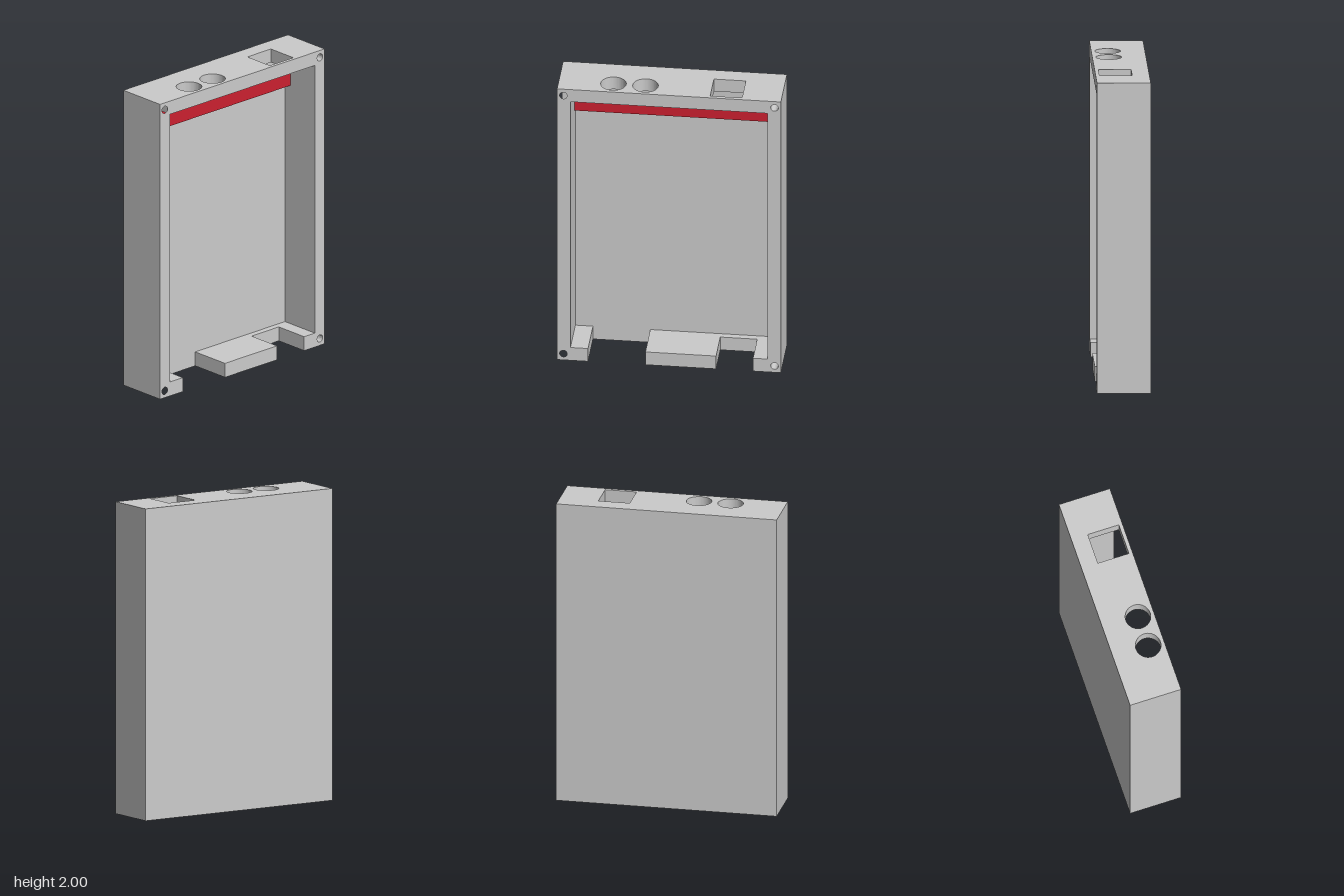
import * as THREE from 'three';
import { toCreasedNormals } from 'three/addons/utils/BufferGeometryUtils.js';

const W = 0.7125, IN = 0.627, H = 2;           // half width, inner half width, height
const BACK = -0.17, FLOOR = -0.106, FRONT = 0.17;
const TOP = 1.91, SILL = 0.095;                // inner edges of top and bottom walls

const grey = new THREE.MeshStandardMaterial({ color: 0xcccccc });
const red = new THREE.MeshStandardMaterial({ color: 0xcc2030 });

function polygon(points, Type = THREE.Shape) {
  return new Type(points.map(([x, y]) => new THREE.Vector2(x, y)));
}

function circle(x, y, r) {
  const path = new THREE.Path();
  path.absarc(x, y, r, 0, Math.PI * 2, true);
  return path;
}

function extrude(shape, depth) {
  const geo = new THREE.ExtrudeGeometry(shape, { depth, bevelEnabled: false, curveSegments: 32 });
  return toCreasedNormals(geo, 0.6);
}

export function createModel() {
  const group = new THREE.Group();

  const add = (name, geometry, material = grey) => {
    const mesh = new THREE.Mesh(geometry, material);
    mesh.name = name;
    group.add(mesh);
    return mesh;
  };

  // Box given by its two extreme corners
  const addBox = (name, [x0, y0, z0], [x1, y1, z1], material) =>
    add(name, new THREE.BoxGeometry(x1 - x0, y1 - y0, z1 - z0), material)
      .position.set((x0 + x1) / 2, (y0 + y1) / 2, (z0 + z1) / 2);

  addBox('backPanel', [-W, 0, BACK], [W, H, FLOOR]);

  // Side walls, each with a foot turned inward and two screw holes
  for (const [name, s, foot] of [['leftWall', 1, 0.535], ['rightWall', -1, 0.515]]) {
    const shape = polygon([
      [s * W, 0], [s * W, H], [s * IN, H], [s * IN, SILL], [s * foot, SILL], [s * foot, 0],
    ]);
    for (const y of [0.047, H - 0.047]) shape.holes.push(circle(s * 0.672, y, 0.024));
    add(name, extrude(shape, FRONT - FLOOR)).position.z = FLOOR;
  }

  // Top wall with two round openings and a rectangular one
  const top = polygon([[-IN, FLOOR], [IN, FLOOR], [IN, FRONT], [-IN, FRONT]]);
  top.holes.push(
    circle(-0.365, 0.066, 0.081),
    circle(-0.161, 0.066, 0.081),
    polygon([[0.26, -0.061], [0.26, 0.146], [0.463, 0.146], [0.463, -0.061]], THREE.Path),
  );
  add('topWall', extrude(top, H - TOP).rotateX(Math.PI / 2)).position.y = H;

  // Bottom wall: centre block, and a low ledge closing the back of one gap
  addBox('bottomBlock', [-0.15, 0, FLOOR], [0.3, SILL, FRONT]);
  addBox('bottomLedge', [0.3, 0, FLOOR], [0.535, SILL, -0.065]);

  // Coloured bar across the floor of the tray
  addBox('crossBar', [-IN, 1.71, FLOOR], [IN, 1.8, -0.057], red);

  return group;
}
